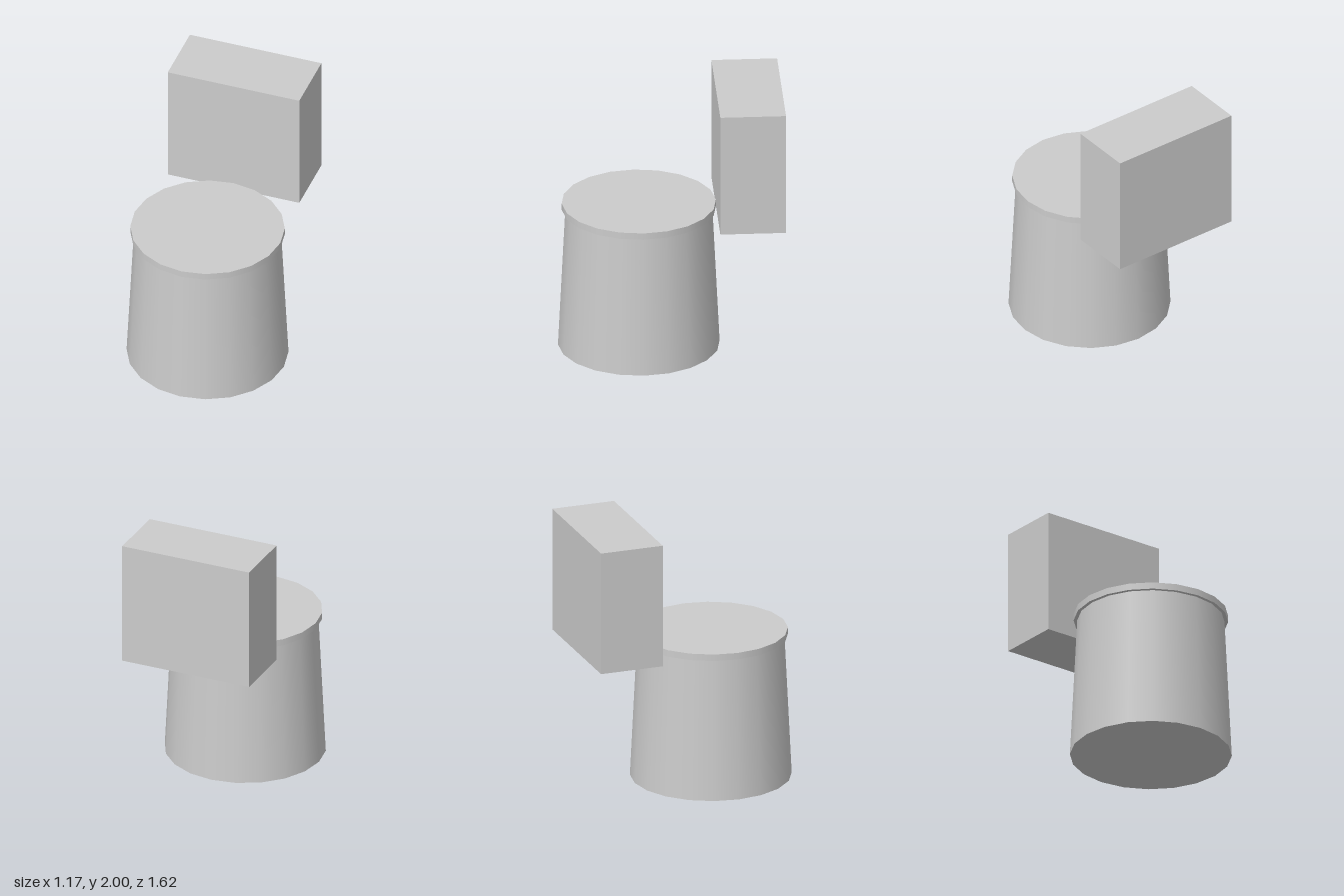
import * as THREE from 'three';

export function createModel() {
  const group = new THREE.Group();
  const material = new THREE.MeshStandardMaterial({ color: 0xcccccc });
  const SIDES = 20;
  const BOWL_Z = 0.225;
  const SEAT_Y = 1.07;

  function add(name, geometry, y, z) {
    const mesh = new THREE.Mesh(geometry, material);
    mesh.name = name;
    mesh.position.set(0, y, z);
    group.add(mesh);
  }

  // Tapered round base
  add('bowl', new THREE.CylinderGeometry(0.534, 0.587, SEAT_Y, SIDES), SEAT_Y / 2, BOWL_Z);

  // Thin disc overhanging the top of the base
  add('lid', new THREE.CylinderGeometry(0.56, 0.56, 0.05, SIDES), SEAT_Y + 0.025, BOWL_Z);

  // Box tank behind the lid
  const tankHeight = 2 - SEAT_Y;
  add('tank', new THREE.BoxGeometry(1.012, tankHeight, 0.477), SEAT_Y + tankHeight / 2, -0.5735);

  return group;
}
